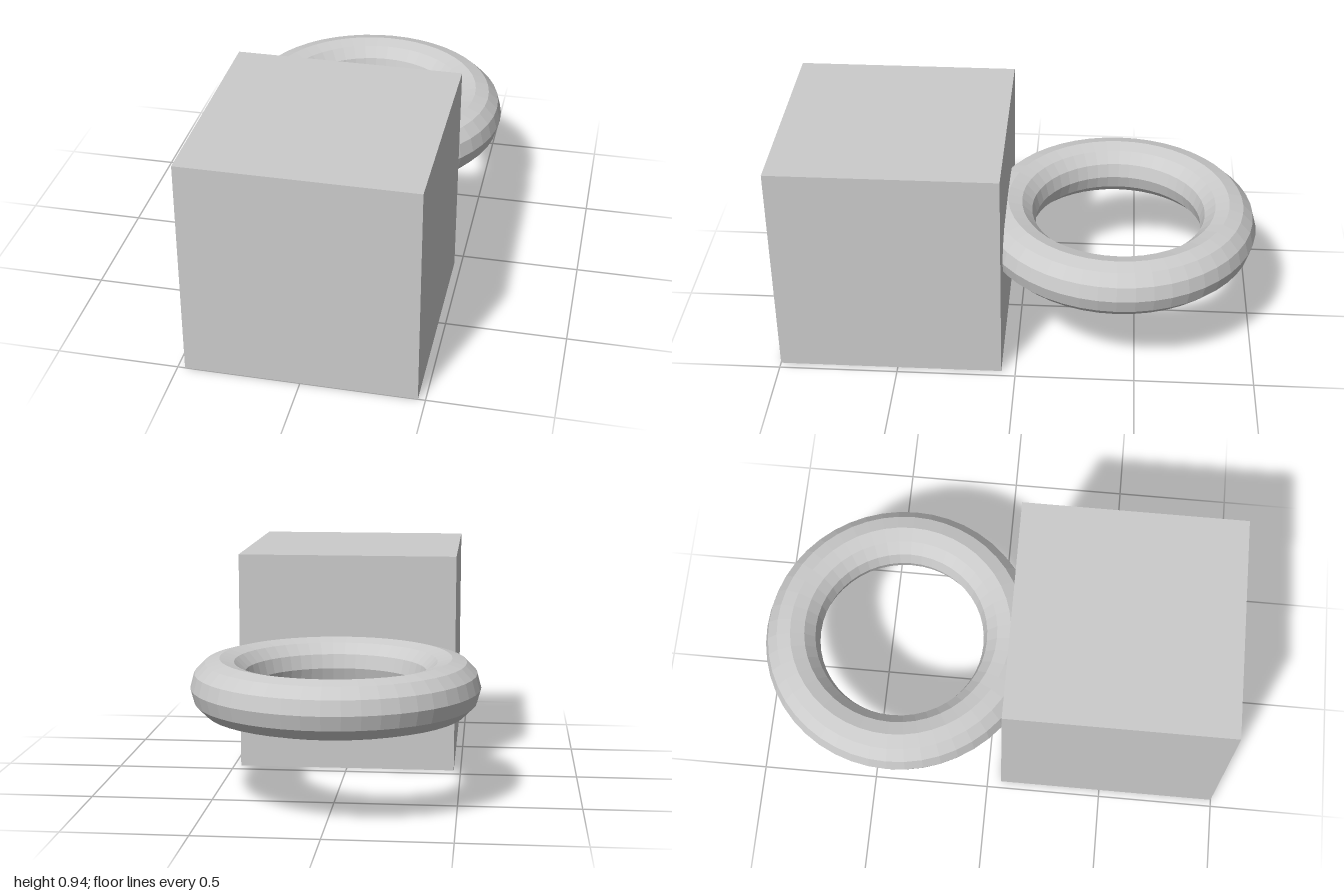
import * as THREE from 'three';

export function createModel() {
  const group = new THREE.Group();
  const material = new THREE.MeshStandardMaterial({ color: 0xcccccc, flatShading: true });
  const unit = 0.47; // half the cube's side, and the ring's main radius

  // Cube standing on the ground at the front
  const cube = new THREE.Mesh(new THREE.BoxGeometry(2 * unit, 2 * unit, 2 * unit), material);
  cube.name = 'cube';
  cube.position.set(0, unit, 1 - unit);
  group.add(cube);

  // Faceted ring lying flat at mid height, sunk into the cube's back
  const tube = unit / 4;
  const ring = new THREE.Mesh(
    new THREE.TorusGeometry(unit, tube, 12, 48).rotateX(-Math.PI / 2),
    material
  );
  ring.name = 'ring';
  ring.position.set(0, unit, -1 + unit + tube);
  group.add(ring);

  return group;
}
